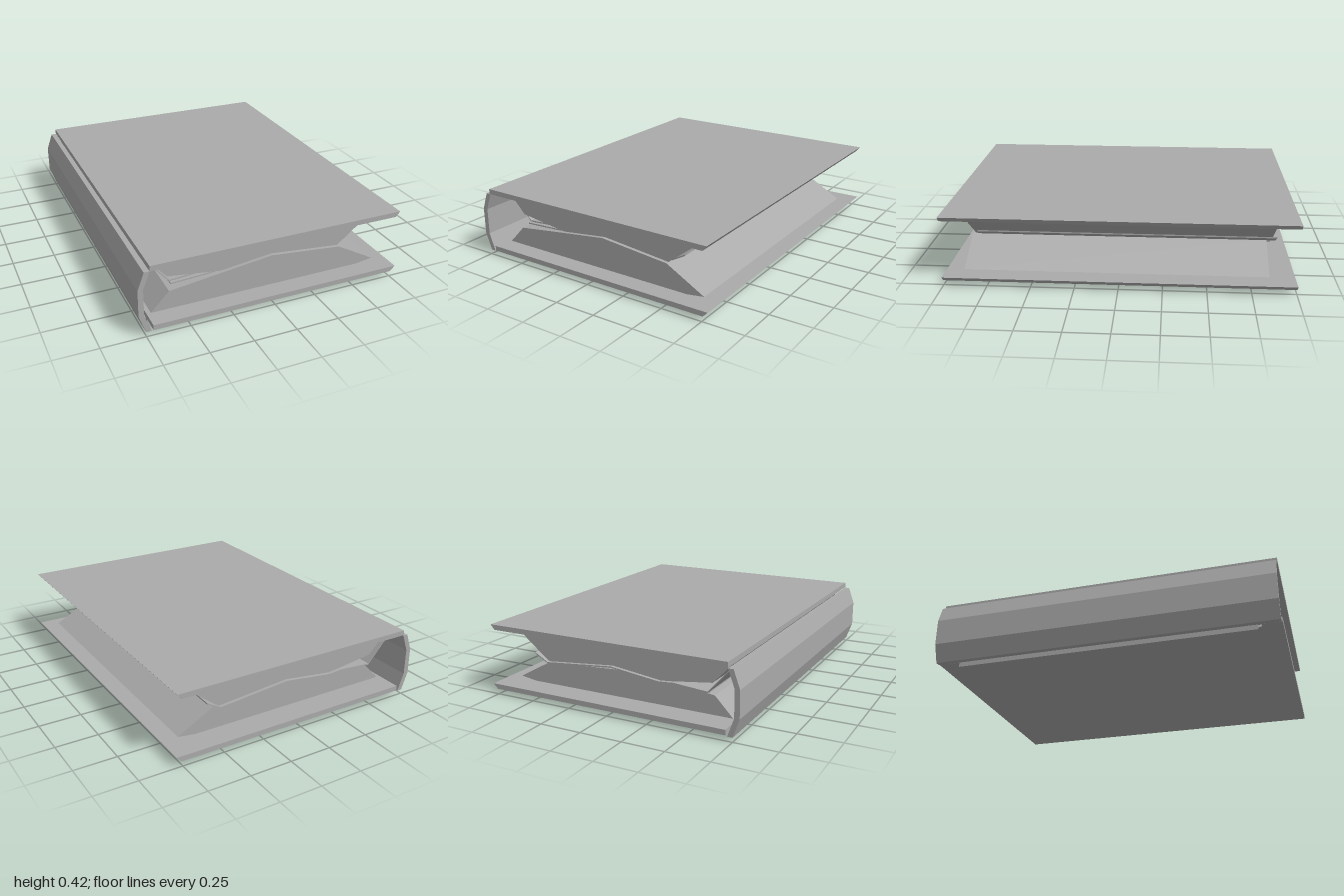
import * as THREE from 'three';

const grey = new THREE.MeshStandardMaterial({ color: 0xaaaaaa });
grey.name = 'grey';

// Straight prism: an x/y cross-section running from z = back to z = front
function prism(name, points, back, front) {
  const shape = new THREE.Shape(points.map(([x, y]) => new THREE.Vector2(x, y)));
  const geometry = new THREE.ExtrudeGeometry(shape, { depth: front - back, bevelEnabled: false });
  geometry.translate(0, 0, back);
  const mesh = new THREE.Mesh(geometry, grey);
  mesh.name = name;
  return mesh;
}

// Thin sheet following a path, given a small thickness downwards
function leaf(name, path, thickness, back, front) {
  const under = path.map(([x, y]) => [x, y - thickness]).reverse();
  return prism(name, [...path, ...under], back, front);
}

export function createModel() {
  const book = new THREE.Group();
  book.name = 'book';

  // Hard covers with a slanted fore edge
  book.add(prism('topCover', [[-0.72, 0.39], [0.75, 0.39], [0.775, 0.42], [-0.72, 0.42]], -1, 1));
  book.add(prism('bottomCover', [[-0.71, 0.03], [0.755, 0.03], [0.785, 0.06], [-0.71, 0.06]], -1, 1));

  // Faceted curved spine
  book.add(prism('spine', [
    [-0.75, 0.025], [-0.72, 0.025], [-0.757, 0.13], [-0.757, 0.285], [-0.72, 0.387],
    [-0.75, 0.387], [-0.787, 0.285], [-0.787, 0.13],
  ], -1, 0.995));

  // Two page blocks meeting along a wavy line
  book.add(prism('upperPages', [
    [-0.71, 0.385], [-0.58, 0.25], [-0.27, 0.21], [0.03, 0.247], [0.46, 0.205], [0.685, 0.382],
    [0.25, 0.385], [-0.05, 0.392],
  ], -0.88, 0.87));
  book.add(prism('lowerPages', [
    [-0.71, 0.015], [-0.69, 0.05], [0.59, 0.06], [0.695, 0.075], [0.46, 0.205], [0.03, 0.247],
    [-0.27, 0.21], [-0.58, 0.17], [-0.7, 0.045],
  ], -0.85, 0.89));

  // Small flap of paper under the spine edge of the bottom cover
  book.add(prism('pageFlap', [[-0.715, 0], [-0.69, 0.03], [-0.715, 0.03]], -0.87, 0.87));

  // Loose leaves between the blocks
  book.add(leaf('looseLeaf', [
    [-0.71, 0.375], [-0.56, 0.205], [-0.36, 0.22], [-0.27, 0.213], [0.03, 0.25], [0.46, 0.21],
    [0.545, 0.258],
  ], 0.008, -0.9, 0.84));
  book.add(leaf('lowerLeaf', [
    [-0.56, 0.198], [-0.27, 0.213], [0.03, 0.225], [0.46, 0.2],
  ], 0.008, -0.87, 0.86));

  return book;
}
